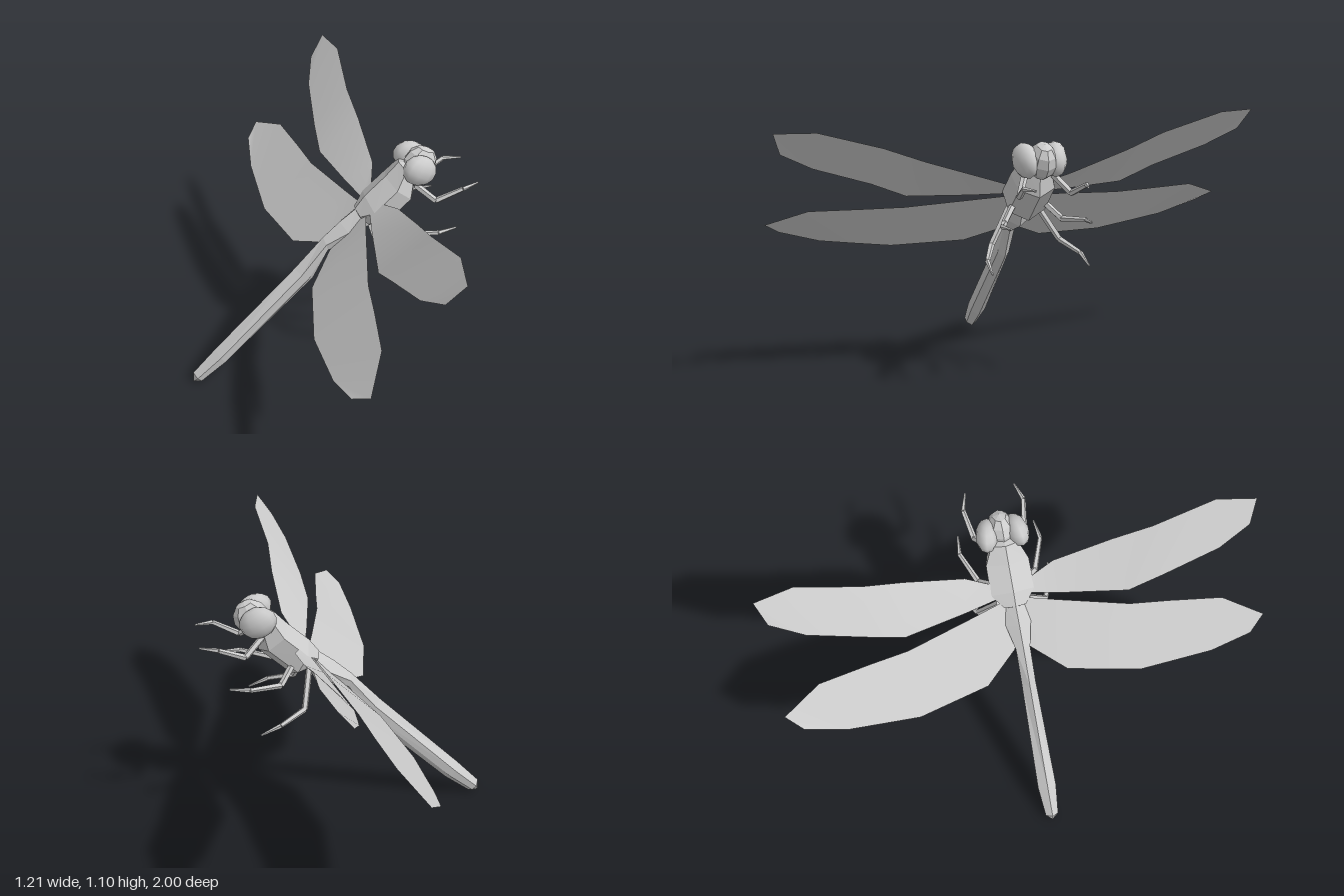
import * as THREE from 'three';

const grey = new THREE.MeshStandardMaterial({ color: 0xcccccc, flatShading: true });
const smooth = new THREE.MeshStandardMaterial({ color: 0xcccccc });
const thin = new THREE.MeshStandardMaterial({ color: 0xcccccc, side: THREE.DoubleSide });

function addMesh(parent, name, geometry, material = grey) {
  const mesh = new THREE.Mesh(geometry, material);
  mesh.name = name;
  parent.add(mesh);
  return mesh;
}

function indexed(points, index) {
  const g = new THREE.BufferGeometry();
  g.setAttribute('position', new THREE.Float32BufferAttribute(points.flat(), 3));
  g.setIndex(index);
  g.computeVertexNormals();
  return g;
}

// Six-sided hull through stations [topX, topY, bottomX, bottomY, halfWidth], from tail to head
function hull(stations, tailTip, headTip, upper, lower) {
  const points = [], index = [];
  for (const [tx, ty, bx, by, w] of stations) {
    const at = (t, z) => [tx + (bx - tx) * t, ty + (by - ty) * t, z];
    points.push(at(0, 0), at(upper, w), at(lower, w * 0.85), at(1, 0), at(lower, -w * 0.85), at(upper, -w));
  }
  const n = stations.length, last = (n - 1) * 6;
  points.push(tailTip, headTip);
  for (let j = 0; j < 6; j++) {
    const k = (j + 1) % 6;
    for (let i = 0; i < n - 1; i++) {
      const a = i * 6 + j, b = i * 6 + k;
      index.push(a, b, a + 6, b, b + 6, a + 6);
    }
    index.push(n * 6, k, j, n * 6 + 1, last + j, last + k);
  }
  return indexed(points, index);
}

// Thin wing skinned between leading and trailing edge points
function wing(lead, trail, side) {
  const points = [], index = [];
  lead.forEach((p, i) => {
    for (const [x, y, z] of [p, trail[i]]) points.push([x, y, z * side]);
    if (i) {
      const a = i * 2 - 2;
      index.push(a, a + 1, a + 2, a + 1, a + 3, a + 2);
    }
  });
  return indexed(points, index);
}

// Tapered limb made of jointed five-sided segments
function limb(name, path, radii) {
  const group = new THREE.Group();
  group.name = name;
  for (let i = 0; i < path.length - 1; i++) {
    const a = new THREE.Vector3(...path[i]), b = new THREE.Vector3(...path[i + 1]);
    const dir = b.clone().sub(a);
    const m = addMesh(group, 'legSegment', new THREE.CylinderGeometry(radii[i + 1], radii[i], dir.length(), 5));
    m.position.copy(a).add(b).multiplyScalar(0.5);
    m.quaternion.setFromUnitVectors(new THREE.Vector3(0, 1, 0), dir.normalize());
  }
  return group;
}

export function createModel() {
  const model = new THREE.Group();
  model.name = 'dragonfly';

  // Body
  addMesh(model, 'abdomen', hull([
    [-0.603, 0.052, -0.56, 0.004, 0.028],
    [-0.5, 0.165, -0.45, 0.09, 0.04],
    [-0.145, 0.53, -0.065, 0.47, 0.03],
    [-0.02, 0.67, 0, 0.6, 0.03],
    [0.05, 0.735, 0.13, 0.652, 0.053],
    [0.12, 0.79, 0.157, 0.71, 0.042],
  ], [-0.605, 0.002, 0], [0.16, 0.77, 0], 0.32, 0.72));
  addMesh(model, 'thorax', hull([
    [0.115, 0.79, 0.16, 0.72, 0.045],
    [0.155, 0.845, 0.235, 0.7, 0.09],
    [0.24, 0.925, 0.36, 0.82, 0.087],
    [0.295, 0.985, 0.368, 0.92, 0.055],
  ], [0.13, 0.75, 0], [0.36, 0.98, 0], 0.22, 0.74));

  // Head
  const head = new THREE.Group();
  head.name = 'head';
  model.add(head);
  const face = addMesh(head, 'face', new THREE.SphereGeometry(1, 8, 6));
  face.scale.set(0.072, 0.074, 0.055);
  face.position.set(0.385, 0.97, 0);
  face.rotation.z = -0.4;

  // Wing edges from root to tip, on the +z side
  const foreLead = [[0.2, 0.84, 0.06], [0.24, 0.885, 0.18], [0.243, 0.965, 0.42],
    [0.235, 1.025, 0.58], [0.257, 1.1, 0.83], [0.225, 1.1, 0.987]];
  const foreTrail = [[0.16, 0.8, 0.06], [0.13, 0.797, 0.2], [0.08, 0.8, 0.46],
    [0.09, 0.86, 0.6], [0.12, 0.94, 0.83], [0.163, 1.01, 0.957]];
  const hindLead = [[0.15, 0.788, 0.04], [0.115, 0.775, 0.17], [0.042, 0.747, 0.46],
    [0.02, 0.746, 0.62], [-0.015, 0.745, 0.835], [-0.1, 0.682, 0.998]];
  const hindTrail = [[0, 0.62, 0.03], [-0.11, 0.55, 0.17], [-0.175, 0.535, 0.47],
    [-0.175, 0.557, 0.62], [-0.175, 0.58, 0.77], [-0.153, 0.635, 0.935]];

  // Leg joints from hip to foot, on the +z side
  const legs = {
    frontLeg: [[0.35, 0.905, 0.06], [0.425, 0.845, 0.105], [0.53, 0.897, 0.125], [0.603, 0.903, 0.102]],
    middleLeg: [[0.24, 0.765, 0.07], [0.29, 0.712, 0.12], [0.42, 0.733, 0.172], [0.5, 0.74, 0.162]],
    rearLeg: [[0.165, 0.745, 0.06], [0.2, 0.605, 0.145], [0.305, 0.57, 0.195], [0.388, 0.537, 0.2]],
  };

  // Mirrored parts; the model looks toward +x, so -z is the right of the drawing
  for (const side of [1, -1]) {
    const tag = side > 0 ? 'Near' : 'Far';
    const eye = addMesh(head, 'eye' + tag, new THREE.SphereGeometry(1, 10, 7), smooth);
    eye.scale.set(0.078, 0.064, 0.046);
    eye.position.set(0.365, 0.97, side * 0.06);
    eye.rotation.set(0, side * 0.2, -0.5);
    addMesh(model, 'foreWing' + tag, wing(foreLead, foreTrail, side), thin);
    addMesh(model, 'hindWing' + tag, wing(hindLead, hindTrail, side), thin);
    for (const [name, path] of Object.entries(legs)) {
      model.add(limb(name + tag, path.map(([x, y, z]) => [x, y, z * side]), [0.014, 0.013, 0.01, 0.004]));
    }
  }
  return model;
}
